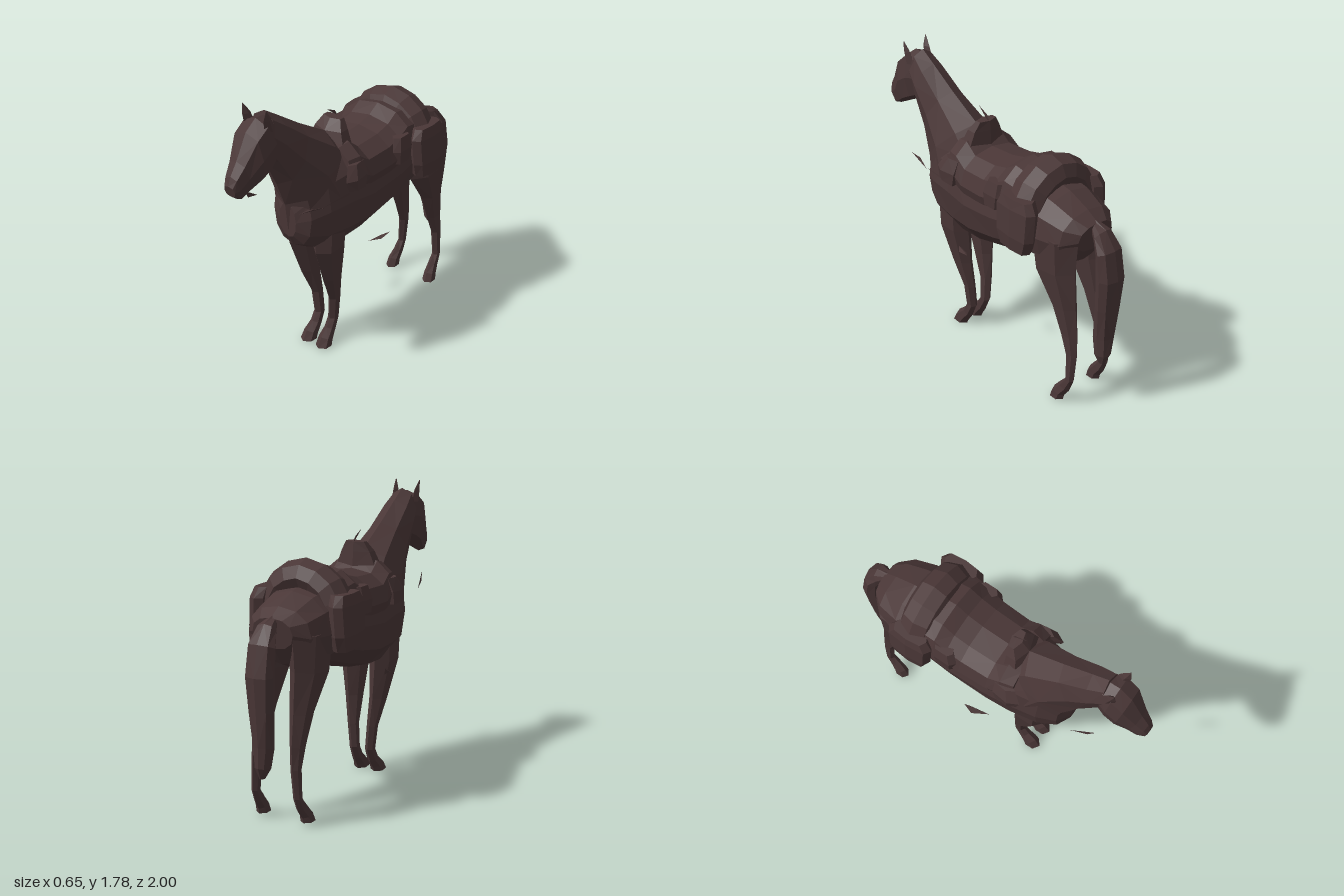
import * as THREE from 'three';

const hide = new THREE.MeshStandardMaterial({ color: 0x4a3737 });
hide.name = 'dark brown';
const thin = new THREE.MeshStandardMaterial({ color: 0x4a3737, side: THREE.DoubleSide });
thin.name = 'dark brown strap';

// Flat-shaded, outward-facing geometry from triangles of Vector3
function facets(tris) {
  let volume = 0;
  for (const [a, b, c] of tris) volume += a.dot(b.clone().cross(c));
  const pos = [];
  for (const t of tris) for (const v of volume < 0 ? [t[0], t[2], t[1]] : t) pos.push(v.x, v.y, v.z);
  const g = new THREE.BufferGeometry();
  g.setAttribute('position', new THREE.Float32BufferAttribute(pos, 3));
  g.computeVertexNormals();
  return g;
}

// Loft through rings. Each section: [x, yA, zA, yB, zB, halfWidth];
// A and B are opposite points on the centre plane. power < 1 squares the ring.
function loft(sections, sides, power = 1, side = 1) {
  const bend = (v) => Math.sign(v) * Math.abs(v) ** power;
  const rings = sections.map(([x, yA, zA, yB, zB, w]) =>
    Array.from({ length: sides }, (_, i) => {
      const a = (i / sides) * Math.PI * 2;
      const s = bend(Math.cos(a)) / 2;
      return new THREE.Vector3(side * (x + w * bend(Math.sin(a))),
        (yA + yB) / 2 + s * (yA - yB), (zA + zB) / 2 + s * (zA - zB));
    }));
  const tris = [];
  const mid = (r) => r.reduce((m, v) => m.add(v), new THREE.Vector3()).divideScalar(sides);
  const first = rings[0], last = rings[rings.length - 1];
  const c0 = mid(first), c1 = mid(last);
  for (let i = 0; i < sides; i++) {
    const j = (i + 1) % sides;
    for (let k = 0; k + 1 < rings.length; k++) {
      const p = rings[k], q = rings[k + 1];
      if ((i + k) % 2) tris.push([p[i], p[j], q[j]], [p[i], q[j], q[i]]);
      else tris.push([p[i], p[j], q[i]], [p[j], q[j], q[i]]);
    }
    tris.push([c0, first[j], first[i]], [c1, last[i], last[j]]);
  }
  return facets(tris);
}

// Thin plate from a fan of corner points
function plate(points) {
  const v = points.map((p) => new THREE.Vector3(...p));
  return facets(v.slice(2).map((p, i) => [v[0], v[i + 1], p]));
}

export function createModel() {
  const group = new THREE.Group();
  const add = (name, geometry, material = hide) => {
    const mesh = new THREE.Mesh(geometry, material);
    mesh.name = name;
    group.add(mesh);
  };
  const pair = (name, sections, sides, power) => {
    add(name + 'Left', loft(sections, sides, power, 1));
    add(name + 'Right', loft(sections, sides, power, -1));
  };

  // Body, neck and head
  add('torso', loft([
    [0, 1.1, 0.54, 0.88, 0.53, 0.06], [0, 1.22, 0.49, 0.81, 0.49, 0.14],
    [0, 1.34, 0.38, 0.74, 0.38, 0.195], [0, 1.38, 0.2, 0.72, 0.2, 0.23],
    [0, 1.33, 0.05, 0.73, 0.03, 0.24], [0, 1.32, -0.2, 0.79, -0.2, 0.25],
    [0, 1.34, -0.42, 0.86, -0.42, 0.25], [0, 1.31, -0.6, 0.86, -0.58, 0.24],
    [0, 1.25, -0.74, 0.92, -0.72, 0.205], [0, 1.2, -0.82, 1.02, -0.79, 0.13],
  ], 12, 0.88));
  add('neck', loft([
    [0, 1.34, 0.08, 0.9, 0.53, 0.2], [0, 1.43, 0.2, 1.1, 0.555, 0.175],
    [0, 1.56, 0.42, 1.26, 0.62, 0.13], [0, 1.68, 0.6, 1.42, 0.7, 0.112],
    [0, 1.745, 0.7, 1.5, 0.76, 0.09],
  ], 8));
  add('head', loft([
    [0, 1.72, 0.69, 1.44, 0.68, 0.085], [0, 1.725, 0.77, 1.41, 0.74, 0.108],
    [0, 1.67, 0.85, 1.375, 0.81, 0.106], [0, 1.53, 0.93, 1.34, 0.88, 0.07],
    [0, 1.46, 0.98, 1.31, 0.94, 0.052], [0, 1.41, 1.0, 1.34, 0.98, 0.038],
  ], 8, 0.68));
  pair('ear', [
    [0.07, 1.66, 0.78, 1.66, 0.7, 0.025], [0.075, 1.73, 0.79, 1.73, 0.73, 0.018],
    [0.083, 1.79, 0.78, 1.79, 0.775, 0.003],
  ], 4);

  // Legs and hooves
  pair('frontLeg', [
    [0.1, 1.0, 0.42, 1.0, 0.16, 0.09], [0.1, 0.74, 0.41, 0.74, 0.17, 0.08],
    [0.085, 0.5, 0.325, 0.5, 0.17, 0.05], [0.068, 0.32, 0.245, 0.32, 0.16, 0.033],
    [0.055, 0.17, 0.235, 0.17, 0.16, 0.03], [0.055, 0.12, 0.265, 0.08, 0.2, 0.033],
    [0.058, 0.075, 0.32, 0.03, 0.235, 0.042], [0.06, 0.015, 0.355, 0.005, 0.245, 0.047],
  ], 6);
  pair('hindLeg', [
    [0.125, 1.1, -0.44, 1.1, -0.8, 0.11], [0.13, 0.86, -0.48, 0.9, -0.79, 0.092],
    [0.125, 0.66, -0.62, 0.66, -0.8, 0.06], [0.125, 0.48, -0.69, 0.48, -0.82, 0.038],
    [0.13, 0.35, -0.745, 0.35, -0.825, 0.028], [0.14, 0.18, -0.755, 0.18, -0.815, 0.024],
    [0.142, 0.13, -0.71, 0.1, -0.785, 0.028], [0.148, 0.08, -0.67, 0.05, -0.75, 0.036],
    [0.15, 0.02, -0.645, 0.02, -0.745, 0.04],
  ], 6);

  // Tail
  add('tail', loft([
    [0, 1.22, -0.78, 1.15, -0.78, 0.02], [0, 1.18, -0.885, 1.1, -0.83, 0.06],
    [0, 1.08, -0.96, 1.04, -0.86, 0.085], [0, 0.9, -0.995, 0.9, -0.87, 0.088],
    [0, 0.7, -0.98, 0.7, -0.865, 0.075], [0, 0.5, -0.965, 0.48, -0.845, 0.055],
    [0.005, 0.38, -0.96, 0.36, -0.86, 0.04], [0.01, 0.31, -0.93, 0.31, -0.89, 0.015],
  ], 8, 0.85));

  // Saddle with raised pommel and cantle
  add('saddle', loft([
    [0, 1.38, 0.22, 1.04, 0.22, 0.215], [0, 1.4, 0.14, 1.0, 0.14, 0.24],
    [0, 1.335, 0.06, 0.98, 0.06, 0.245], [0, 1.345, -0.12, 0.98, -0.12, 0.253],
    [0, 1.37, -0.22, 1.0, -0.22, 0.257], [0, 1.42, -0.3, 1.02, -0.3, 0.255],
    [0, 1.4, -0.4, 1.02, -0.4, 0.25],
  ], 12, 0.9));
  add('pommel', loft([
    [0, 1.34, 0.23, 1.34, 0.07, 0.15], [0, 1.43, 0.2, 1.43, 0.075, 0.11],
    [0, 1.49, 0.15, 1.49, 0.08, 0.07],
  ], 6));
  pair('shoulderPad', [
    [0.2, 1.28, 0.24, 1.28, 0.1, 0.03], [0.23, 1.2, 0.29, 1.2, 0.1, 0.035],
    [0.235, 1.14, 0.27, 1.12, 0.12, 0.025],
  ], 5);

  // Bedroll, saddlebags and small pouches
  const arch = new THREE.CatmullRomCurve3([
    [-0.22, 1.16], [-0.145, 1.31], [0, 1.375], [0.145, 1.31], [0.22, 1.16],
  ].map(([x, y]) => new THREE.Vector3(x, y, 0)));
  const roll = new THREE.TubeGeometry(arch, 8, 0.1, 8).toNonIndexed();
  roll.scale(1, 1, 1.15).translate(0, 0, -0.45);
  roll.computeVertexNormals();
  add('bedroll', roll);
  pair('saddlebag', [
    [0.25, 1.3, -0.34, 1.3, -0.56, 0.05], [0.26, 1.24, -0.3, 1.24, -0.6, 0.055],
    [0.27, 1.08, -0.31, 1.07, -0.595, 0.055], [0.265, 0.99, -0.34, 0.98, -0.56, 0.05],
  ], 8, 0.6);
  pair('pouch', [
    [0.22, 1.3, -0.17, 1.3, -0.3, 0.035], [0.235, 1.22, -0.14, 1.22, -0.31, 0.04],
    [0.235, 1.14, -0.15, 1.14, -0.29, 0.035],
  ], 6, 0.7);

  // Loose straps, rein ends and stirrup treads
  add('hornStrap', plate([[0, 1.48, 0.08], [0.01, 1.5, 0.1], [0, 1.555, 0.18], [0, 1.52, 0.105]]), thin);
  add('reinLeft', plate([[0.165, 1.13, 0.63], [0.16, 1.12, 0.55], [0.2, 1.1, 0.44], [0.19, 1.125, 0.53]]), thin);
  add('reinRight', plate([[-0.13, 1.22, 0.74], [-0.145, 1.16, 0.7], [-0.17, 1.125, 0.6], [-0.15, 1.175, 0.67]]), thin);
  add('breastStrap', plate([[0.19, 1.1, 0.45], [0.22, 1.12, 0.25], [0.22, 1.105, 0.25]]), thin);
  add('stirrupLeft', plate([[0.24, 0.73, 0.09], [0.29, 0.735, 0.03], [0.295, 0.75, -0.05], [0.26, 0.735, 0]]), thin);
  add('stirrupRight', plate([[-0.25, 0.72, 0.09], [-0.31, 0.74, 0], [-0.295, 0.78, -0.06], [-0.27, 0.73, -0.02]]), thin);
  return group;
}
